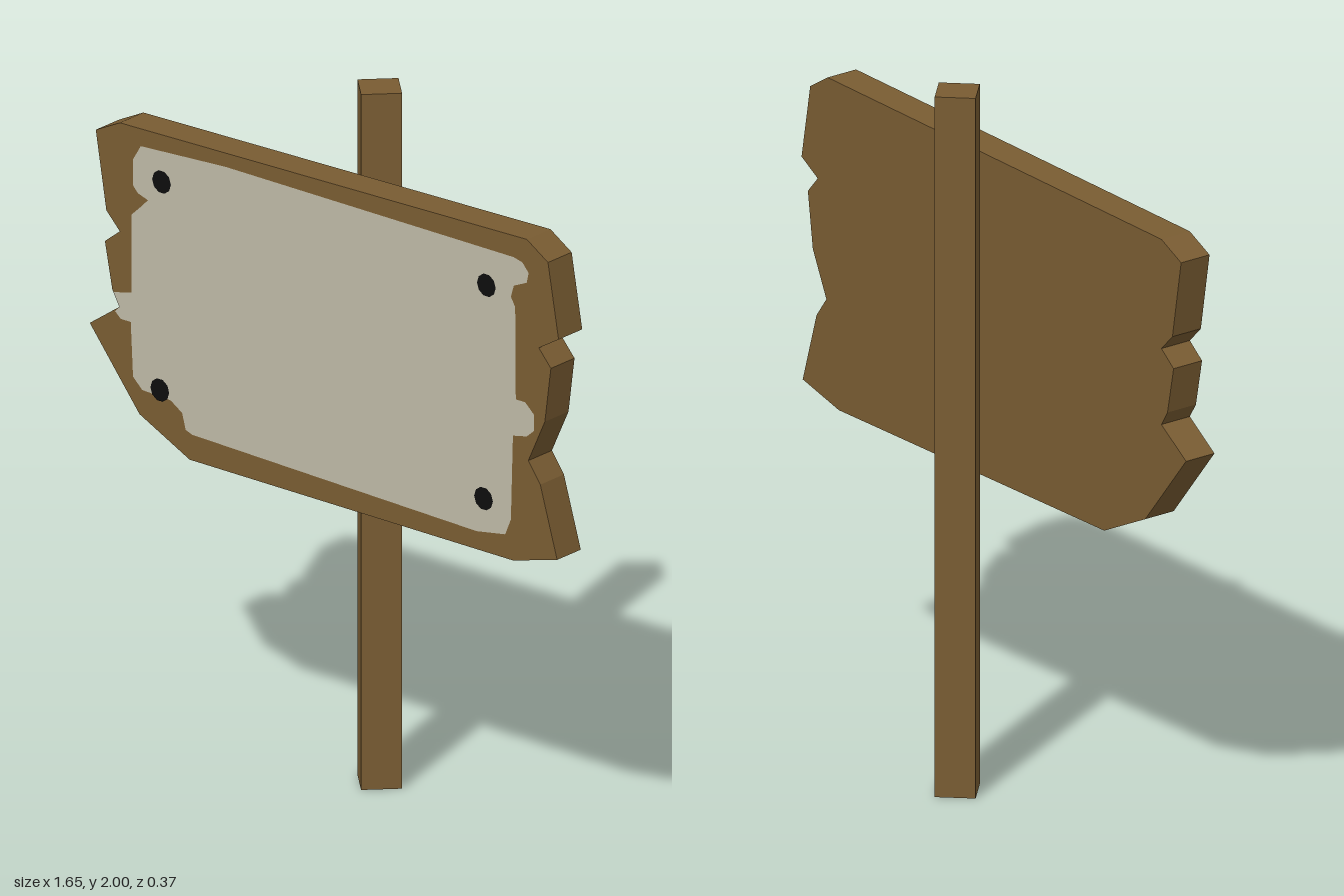
import * as THREE from 'three';

const YAW = 0.107; // the board is turned slightly on its post

// Closed shape from points given as seen from the front, unrolled onto the turned board
function outline(points) {
  return new THREE.Shape(points.map(([x, y]) => new THREE.Vector2(x / Math.cos(YAW), y)));
}

export function createModel() {
  const wood = new THREE.MeshStandardMaterial({ color: 0x795c32 });
  wood.name = 'brown wood';
  wood.flatShading = true;
  const paper = new THREE.MeshStandardMaterial({ color: 0xbeb9a6 });
  paper.name = 'old paper';
  const iron = new THREE.MeshStandardMaterial({ color: 0x0d0d0d });
  iron.name = 'black iron';

  const model = new THREE.Group();
  model.name = 'signpost';
  const add = (parent, name, geometry, material, x = 0, y = 0, z = 0) => {
    const mesh = new THREE.Mesh(geometry, material);
    mesh.name = name;
    mesh.position.set(x, y, z);
    parent.add(mesh);
    return mesh;
  };

  // Square post, set cornerwise behind the board
  add(model, 'post', new THREE.BoxGeometry(0.11, 2, 0.11), wood, 0.034, 1, -0.108).rotation.y = 0.69;

  // Everything on the board lies relative to its front face
  const sign = new THREE.Group();
  sign.name = 'sign';
  sign.position.z = 0.098;
  sign.rotation.y = -YAW;
  model.add(sign);

  // Plank with broken ends
  const plank = outline([
    [-0.804, 1.725], [-0.767, 1.503], [-0.72, 1.455], [-0.772, 1.413], [-0.746, 1.28],
    [-0.72, 1.238], [-0.825, 1.164], [-0.651, 0.947], [-0.476, 0.862], [0.656, 0.868],
    [0.81, 0.91], [0.751, 1.111], [0.709, 1.169], [0.767, 1.296], [0.788, 1.455],
    [0.746, 1.503], [0.815, 1.545], [0.778, 1.757], [0.704, 1.804], [-0.72, 1.767],
  ]);
  add(sign, 'board', new THREE.ExtrudeGeometry(plank, { depth: 0.097, bevelEnabled: false }), wood, 0, 0, -0.097);

  // Torn sheet of paper
  const sheet = outline([
    [-0.672, 1.675], [-0.672, 1.6], [-0.655, 1.582], [-0.62, 1.571], [-0.64, 1.55], [-0.677, 1.515],
    [-0.677, 1.29], [-0.7, 1.285], [-0.741, 1.275], [-0.72, 1.238], [-0.735, 1.222], [-0.715, 1.205],
    [-0.68, 1.205], [-0.672, 1.05], [-0.64, 1.02], [-0.54, 1.016], [-0.5, 0.99], [-0.488, 0.945],
    [-0.465, 0.937], [0.53, 0.92], [0.63, 0.937], [0.65, 0.985], [0.657, 1.228],
    [0.705, 1.238], [0.73, 1.26], [0.73, 1.308], [0.7, 1.335], [0.667, 1.335],
    [0.665, 1.6], [0.65, 1.625], [0.66, 1.66], [0.705, 1.68], [0.712, 1.71],
    [0.69, 1.735], [0.66, 1.742], [-0.35, 1.738], [-0.645, 1.72],
  ]);
  add(sign, 'paper', new THREE.ShapeGeometry(sheet), paper, 0, 0, 0.002);

  // Nail heads at the corners of the sheet
  const nail = new THREE.CircleGeometry(0.033, 10);
  for (const [x, y] of [[-0.574, 1.637], [0.569, 1.637], [-0.58, 1.037], [0.559, 1.021]]) {
    add(sign, 'nail', nail, iron, x, y, 0.004);
  }
  return model;
}
